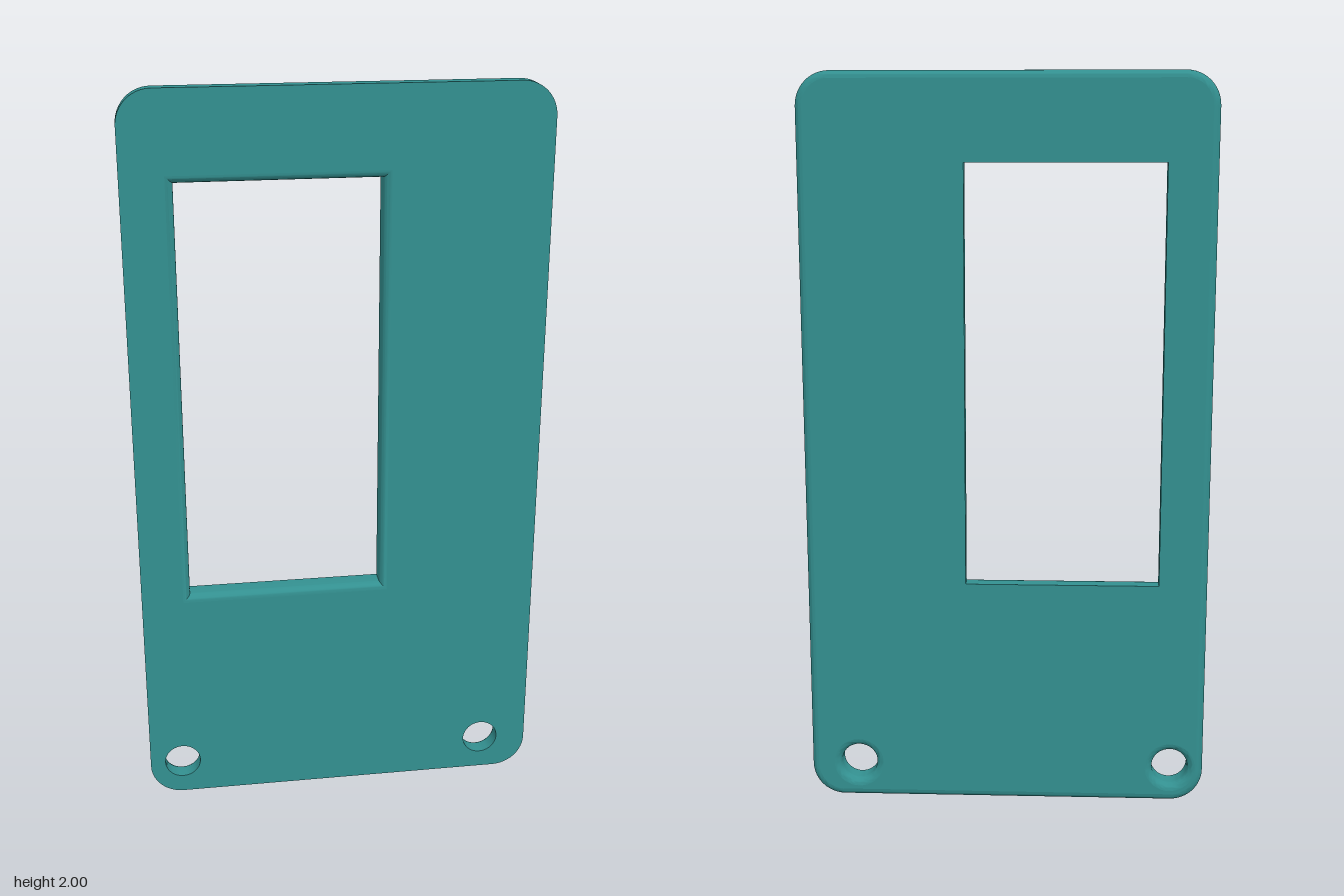
import * as THREE from 'three';
import { toCreasedNormals } from 'three/addons/utils/BufferGeometryUtils.js';

const HALF_DEPTH = 0.03, FILLET = 0.02, STEPS = 8;

// Outline of the plate: rounded rectangle, shrunk by d, counter-clockwise
function plateRing(d) {
  const r = 0.09, pts = [];
  const corners = [[0.46, 1.91], [-0.46, 1.91], [-0.46, 0.09], [0.46, 0.09]];
  corners.forEach(([cx, cy], k) => {
    for (let i = 0; i <= 12; i++) {
      const a = (k + i / 12) * Math.PI / 2;
      pts.push(new THREE.Vector2(cx + (r - d) * Math.cos(a), cy + (r - d) * Math.sin(a)));
    }
  });
  return pts;
}

// Outline of the window: sharp rectangle, grown by d, clockwise
function windowRing(d) {
  const x0 = -0.417 - d, x1 = 0.112 + d, y0 = 0.63 - d, y1 = 1.767 + d;
  return [[x0, y0], [x0, y1], [x1, y1], [x1, y0]].map(p => new THREE.Vector2(...p));
}

// Outline of a screw hole, grown by d, clockwise
const holeRing = cx => d => Array.from({ length: 40 }, (_, i) => {
  const a = -i / 40 * Math.PI * 2, r = 0.05 + d;
  return new THREE.Vector2(cx + r * Math.cos(a), 0.1 + r * Math.sin(a));
});

// Front-to-back profile of a wall with its back (or front) edge rounded
function filletProfile(atFront) {
  const p = [[0, HALF_DEPTH]];
  for (let i = 0; i <= STEPS; i++) {
    const t = i / STEPS * Math.PI / 2;
    p.push([FILLET * (1 - Math.cos(t)), -HALF_DEPTH + FILLET * (1 - Math.sin(t))]);
  }
  return atFront ? p.map(([d, z]) => [d, -z]).reverse() : p;
}

// Sweep a ring along a profile of [offset, z]
function wall(ring, profile) {
  const pos = [], idx = [];
  const n = ring(0).length;
  profile.forEach(([d, z]) => ring(d).forEach(p => pos.push(p.x, p.y, z)));
  for (let j = 0; j < profile.length - 1; j++) {
    for (let i = 0; i < n; i++) {
      const a = j * n + i, a2 = j * n + (i + 1) % n;
      idx.push(a, a + n, a2 + n, a, a2 + n, a2);
    }
  }
  const g = new THREE.BufferGeometry();
  g.setAttribute('position', new THREE.Float32BufferAttribute(pos, 3));
  g.setIndex(idx);
  return toCreasedNormals(g, 0.6);
}

// Flat face with window and screw holes cut out
function face(outerInset, windowGrow, holeGrow, holes) {
  const shape = new THREE.Shape(plateRing(outerInset));
  shape.holes.push(new THREE.Path(windowRing(windowGrow)));
  holes.forEach(h => shape.holes.push(new THREE.Path(h(holeGrow))));
  return new THREE.ShapeGeometry(shape);
}

export function createModel() {
  const group = new THREE.Group();
  group.name = 'coverPlate';
  const material = new THREE.MeshStandardMaterial({ color: 0x339090 });
  const add = (name, geometry) => {
    const mesh = new THREE.Mesh(geometry, material);
    mesh.name = name;
    group.add(mesh);
  };
  const holes = [holeRing(-0.458), holeRing(0.417)];

  // Front face, with the window edge rounded away
  add('frontFace', face(0, FILLET, 0, holes).translate(0, 0, HALF_DEPTH));

  // Back face, with rim and screw holes rounded away; winding flipped to face -z
  const back = face(FILLET, 0, FILLET, holes).translate(0, 0, -HALF_DEPTH);
  back.setIndex(Array.from(back.index.array).reverse());
  back.computeVertexNormals();
  add('backFace', back);

  // Outer rim, window edge and screw holes
  add('outerRim', wall(plateRing, filletProfile(false)));
  add('windowEdge', wall(windowRing, filletProfile(true)));
  add('rightScrewHole', wall(holes[0], filletProfile(false)));
  add('leftScrewHole', wall(holes[1], filletProfile(false)));
  return group;
}
